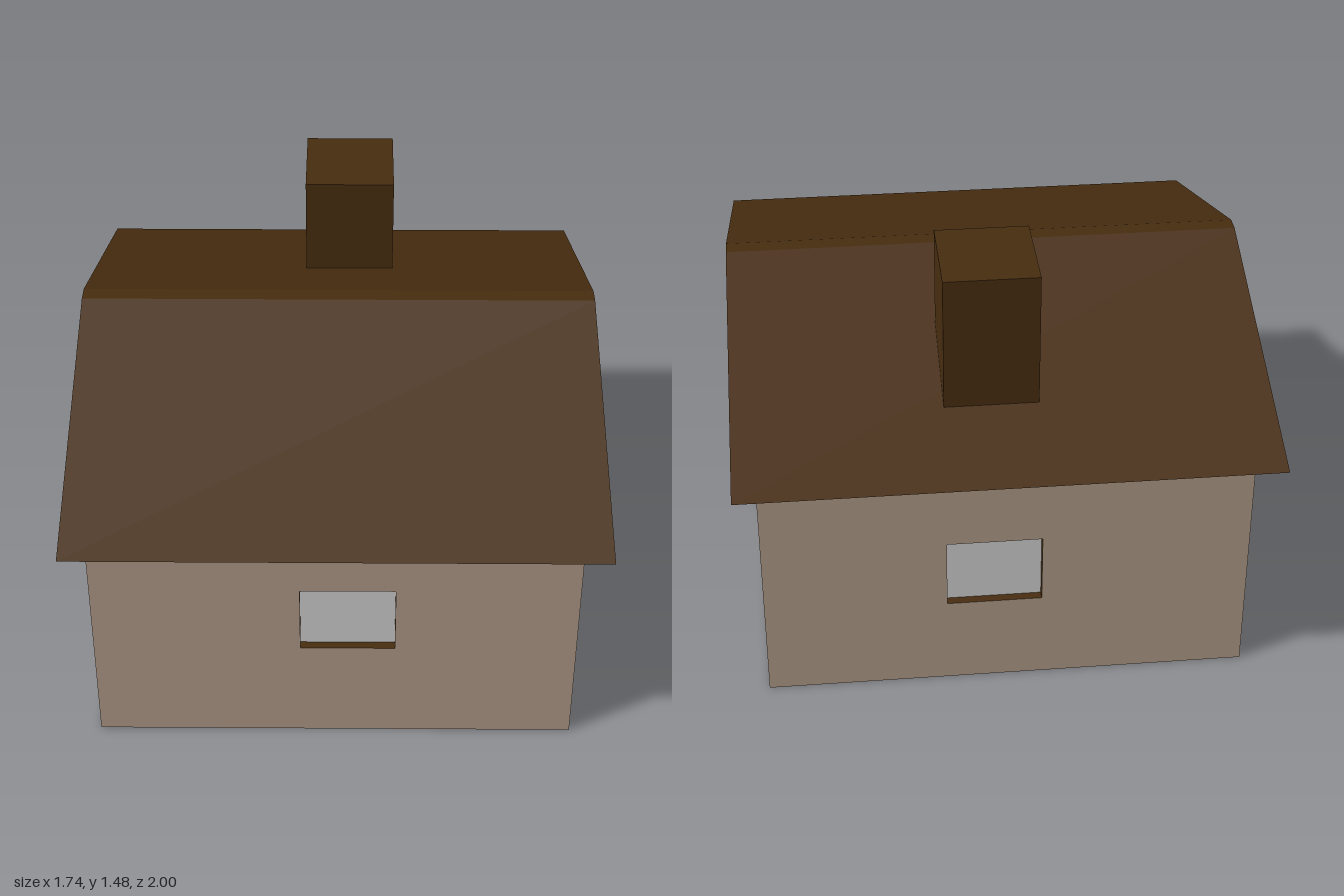
import * as THREE from 'three';

const paint = (color) => new THREE.MeshStandardMaterial({ color, flatShading: true, side: THREE.DoubleSide });

export function createModel() {
  const house = new THREE.Group();
  house.name = 'house';
  const plaster = paint(0xac9785);
  const brown = paint(0x472d10);
  const glass = paint(0xcccccc);
  const black = paint(0x0f0f0f);
  const RECESS = 0.03;

  const add = (parent, name, geometry, material, x = 0, y = 0, z = 0) => {
    const mesh = new THREE.Mesh(geometry, material);
    mesh.name = name;
    mesh.position.set(x, y, z);
    parent.add(mesh);
    return mesh;
  };

  // Open square tube, one unit on each side, lining a window opening
  const liner = new THREE.CylinderGeometry(Math.SQRT1_2, Math.SQRT1_2, 1, 4, 1, true, Math.PI / 4);
  liner.rotateX(Math.PI / 2);

  // One outer wall with recessed windows; openings are [u0, u1, y0, y1, pane, reveal]
  function addWall(name, u0, u1, openings, x, z, turn) {
    const wall = new THREE.Group();
    wall.name = name;
    wall.position.set(x, 0, z);
    wall.rotation.y = turn;
    const rect = (Type, a, b, c, d) => new Type([
      new THREE.Vector2(a, c), new THREE.Vector2(b, c),
      new THREE.Vector2(b, d), new THREE.Vector2(a, d),
    ]);
    const shape = rect(THREE.Shape, u0, u1, 0, 0.9);
    for (const [a, b, c, d, pane, reveal] of openings) {
      shape.holes.push(rect(THREE.Path, a, b, c, d));
      const w = b - a, h = d - c, cx = (a + b) / 2, cy = (c + d) / 2;
      add(wall, 'windowReveal', liner, reveal, cx, cy, -RECESS / 2).scale.set(w, h, RECESS);
      add(wall, 'windowPane', new THREE.PlaneGeometry(w, h), pane, cx, cy, -RECESS);
    }
    add(wall, name + 'Face', new THREE.ShapeGeometry(shape), plaster);
    house.add(wall);
  }

  addWall('frontWall', -0.81, 0.8, [[-0.12, 0.195, 0.375, 0.625, glass, brown]], 0, 0.81, 0);
  addWall('backWall', -0.8, 0.81, [[-0.195, 0.12, 0.315, 0.56, glass, brown]], 0, -0.81, Math.PI);
  addWall('leftWall', -0.81, 0.81, [[0.2, 0.445, 0.375, 0.56, glass, brown]], 0.8, 0, Math.PI / 2);
  addWall('rightWall', -0.81, 0.81, [
    [-0.445, -0.2, 0.375, 0.56, glass, brown],
    [0.205, 0.45, 0.375, 0.56, plaster, plaster],
  ], -0.81, 0, -Math.PI / 2);

  // Floor slab face
  add(house, 'floor', new THREE.PlaneGeometry(1.61, 1.62).rotateX(Math.PI / 2), plaster, -0.005, 0, 0);

  // Door: black leaf face on a plaster-coloured block
  add(house, 'door', new THREE.BoxGeometry(0.03, 0.375, 0.235),
    [black, plaster, plaster, plaster, plaster, plaster], 0.815, 0.1875, 0.338);

  // Roof: rectangular rings [half x, half z, y] from soffit to eaves to narrow ridge
  const rings = [[0.81, 0.81, 0.89], [0.87, 1, 0.908], [0.87, 0.03, 1.252]];
  const points = [], faces = [];
  for (const [hx, hz, y] of rings) points.push(-hx, y, hz, hx, y, hz, hx, y, -hz, -hx, y, -hz);
  for (let r = 0; r < rings.length - 1; r++) {
    for (let i = 0; i < 4; i++) {
      const a = r * 4 + i, b = r * 4 + (i + 1) % 4;
      faces.push(a, b, b + 4, a, b + 4, a + 4);
    }
  }
  faces.push(8, 9, 10, 8, 10, 11, 0, 2, 1, 0, 3, 2);
  const roof = new THREE.BufferGeometry();
  roof.setAttribute('position', new THREE.Float32BufferAttribute(points, 3));
  roof.setIndex(faces);
  const flatRoof = roof.toNonIndexed();
  flatRoof.computeVertexNormals();
  add(house, 'roof', flatRoof, brown);

  // Chimney, sunk into the back slope
  add(house, 'chimney', new THREE.BoxGeometry(0.307, 0.52, 0.335), brown, 0.037, 1.217, -0.523);

  return house;
}
